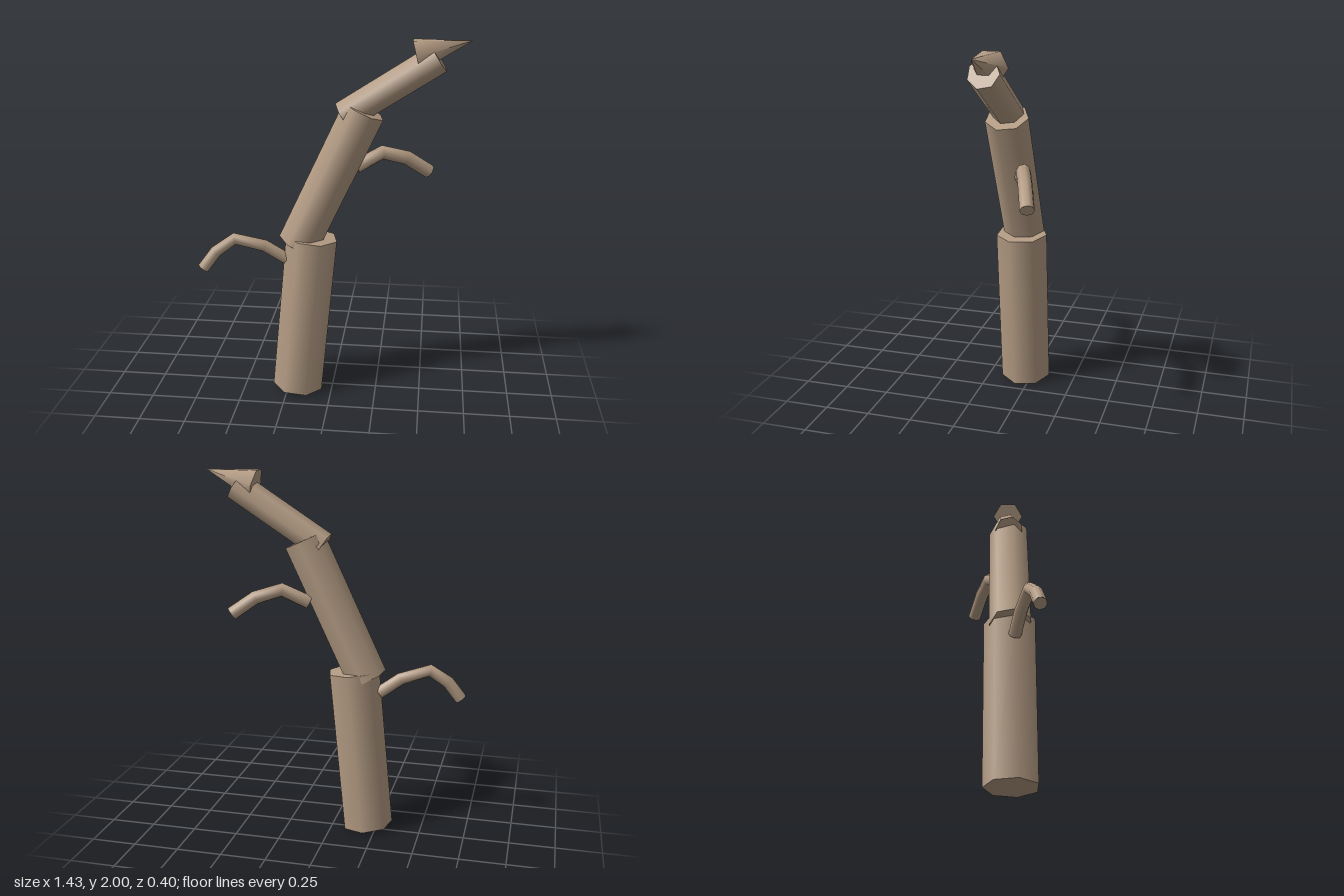
import * as THREE from 'three';

const bark = new THREE.MeshStandardMaterial({ color: 0xb49c84 });
bark.name = 'bark';

const Z = 0.039; // depth of the trunk's plane

// Orient a y-aligned mesh so it runs between two points in the trunk's plane
function place(mesh, [x0, y0], [x1, y1]) {
  mesh.position.set((x0 + x1) / 2, (y0 + y1) / 2, Z);
  mesh.rotation.z = -Math.atan2(x1 - x0, y1 - y0);
  return mesh;
}

// Seven-sided log with a corner pointing back
function log(name, from, to, radius) {
  const length = Math.hypot(to[0] - from[0], to[1] - from[1]);
  const mesh = new THREE.Mesh(
    new THREE.CylinderGeometry(radius, radius, length, 7, 1, false, Math.PI), bark);
  mesh.name = name;
  return place(mesh, from, to);
}

// Bent branch of constant thickness, closed at both ends
function branch(name, points, radius) {
  const group = new THREE.Group();
  group.name = name;
  const curve = new THREE.CatmullRomCurve3(points.map(p => new THREE.Vector3(...p)));
  // Place the rings exactly on the given points
  curve.getPointAt = curve.getPoint;
  curve.getTangentAt = curve.getTangent;
  const limb = new THREE.Mesh(
    new THREE.TubeGeometry(curve, points.length - 1, radius, 8, false), bark);
  limb.name = name + 'Limb';
  group.add(limb);
  for (const end of [0, 1]) {
    const cap = new THREE.Mesh(new THREE.CircleGeometry(radius, 8), bark);
    cap.name = name + (end ? 'Tip' : 'Root');
    const outward = curve.getTangent(end).multiplyScalar(end ? 1 : -1);
    cap.position.copy(curve.getPoint(end));
    cap.quaternion.setFromUnitVectors(new THREE.Vector3(0, 0, 1), outward);
    group.add(cap);
  }
  return group;
}

export function createModel() {
  const model = new THREE.Group();
  model.name = 'bentTree';

  // Three stacked logs leaning further and further over
  model.add(
    log('lowerTrunk', [-0.195, 0.017], [-0.108, 0.925], 0.143),
    log('middleTrunk', [-0.183, 0.885], [0.168, 1.635], 0.115),
    log('upperTrunk', [0.062, 1.603], [0.543, 1.912], 0.081));

  // Six-sided pointed top
  const base = [0.4325, 1.924], tip = [0.71, 2.0];
  const point = new THREE.Mesh(
    new THREE.ConeGeometry(0.09, Math.hypot(tip[0] - base[0], tip[1] - base[1]), 6), bark);
  point.name = 'pointedTop';
  model.add(place(point, base, tip));

  // Drooping side branches
  model.add(
    branch('leftBranch', [
      [0.125, 1.31, -0.027], [0.262, 1.382, -0.075],
      [0.395, 1.342, -0.122], [0.515, 1.257, -0.165]], 0.038),
    branch('rightBranch', [
      [-0.25, 0.80, 0.058], [-0.365, 0.88, 0.085], [-0.522, 0.928, 0.124],
      [-0.62, 0.86, 0.148], [-0.69, 0.765, 0.165]], 0.034));

  return model;
}
